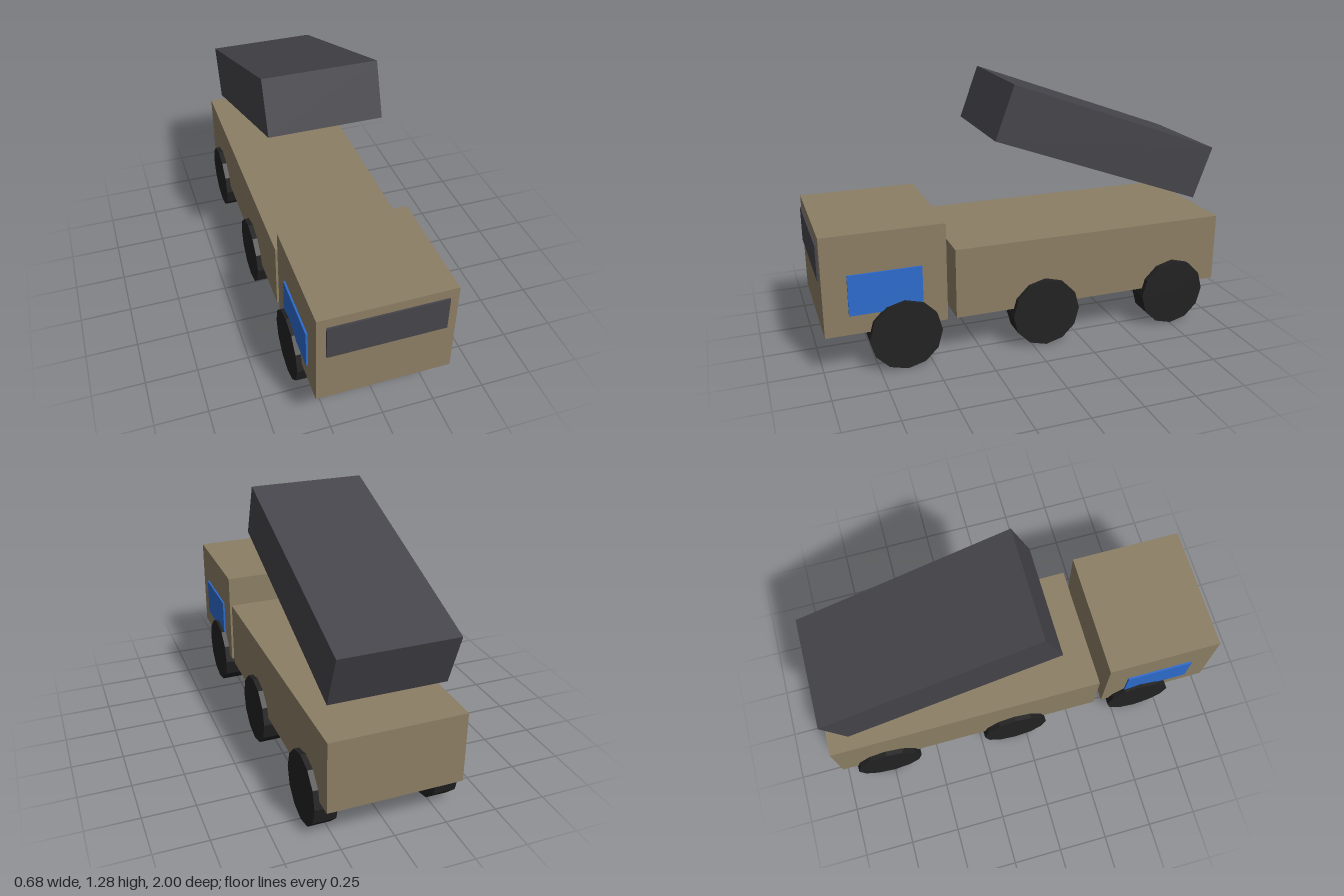
import * as THREE from 'three';

export function createModel() {
  const mat = (name, color) => {
    const m = new THREE.MeshStandardMaterial({ color });
    m.name = name;
    return m;
  };
  const tan = mat('tan body', 0x8c7e64);
  const grey = mat('dark grey', 0x45444a);
  const blue = mat('blue window', 0x2d6bcd);
  const black = mat('black rubber', 0x222222);

  const truck = new THREE.Group();
  truck.name = 'truck';

  const add = (name, geometry, material, x, y, z) => {
    const mesh = new THREE.Mesh(geometry, material);
    mesh.name = name;
    mesh.position.set(x, y, z);
    truck.add(mesh);
    return mesh;
  };
  // Box given by its width and its y and z extents
  const addBlock = (name, material, x, width, y0, y1, z0, z1) =>
    add(name, new THREE.BoxGeometry(width, y1 - y0, z1 - z0), material, x, (y0 + y1) / 2, (z0 + z1) / 2);

  // Body
  addBlock('cab', tan, 0, 0.632, 0.205, 0.682, 0.422, 0.99);
  addBlock('rearBody', tan, 0, 0.632, 0.205, 0.546, -1, 0.38);

  // Windows
  addBlock('windshield', grey, 0, 0.546, 0.466, 0.636, 0.991, 1);
  for (const side of [-1, 1]) {
    addBlock(side > 0 ? 'leftWindow' : 'rightWindow', blue, side * 0.3205, 0.009, 0.3, 0.494, 0.538, 0.878);
  }

  // Raised launcher box, front end tilted up
  const launcher = add('launcherBox', new THREE.BoxGeometry(0.546, 0.268, 1.12), grey, 0, 0.961, -0.402);
  launcher.rotation.x = THREE.MathUtils.degToRad(-20);

  // Three axles of faceted wheels
  const wheel = new THREE.CylinderGeometry(0.17, 0.17, 0.108, 12).rotateZ(Math.PI / 2).toNonIndexed();
  wheel.computeVertexNormals();
  [['front', 0.625], ['middle', -0.065], ['rear', -0.755]].forEach(([axle, z]) => {
    for (const side of [-1, 1]) {
      add(axle + (side > 0 ? 'LeftWheel' : 'RightWheel'), wheel, black, side * 0.287, 0.17, z);
    }
  });

  return truck;
}
